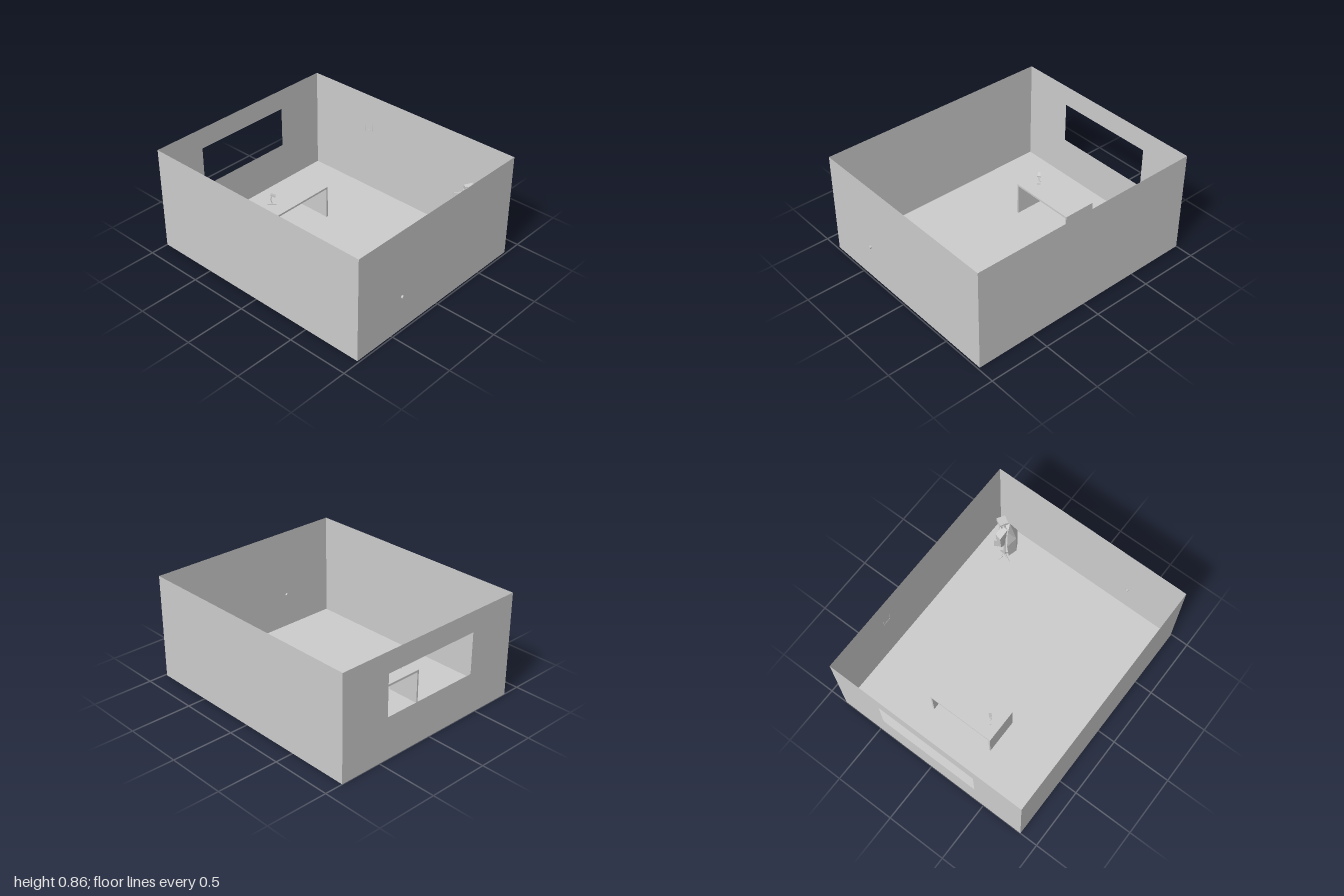
import * as THREE from 'three';
import { ConvexGeometry } from 'three/addons/geometries/ConvexGeometry.js';

const grey = new THREE.MeshStandardMaterial({ color: 0xcccccc, side: THREE.DoubleSide });
grey.name = 'plainGrey';

export function createModel() {
  const model = new THREE.Group();
  const W = 0.85, H = 0.855, BACK = -1, FRONT = 0.985;
  const depth = FRONT - BACK, midZ = (FRONT + BACK) / 2;

  function add(parent, name, geometry, x = 0, y = 0, z = 0) {
    const mesh = new THREE.Mesh(geometry, grey);
    mesh.name = name;
    mesh.position.set(x, y, z);
    parent.add(mesh);
    return mesh;
  }
  const box = (w, h, d) => new THREE.BoxGeometry(w, h, d);
  const hull = (pts) => new ConvexGeometry(pts.map((p) => new THREE.Vector3(...p)));

  // straight round bar between two points
  function bar(parent, name, a, b, r, sides = 8) {
    const p = new THREE.Vector3(...a), q = new THREE.Vector3(...b);
    const dir = q.clone().sub(p);
    const mesh = add(parent, name, new THREE.CylinderGeometry(r, r, dir.length(), sides));
    mesh.position.copy(p).add(q).multiplyScalar(0.5);
    mesh.quaternion.setFromUnitVectors(new THREE.Vector3(0, 1, 0), dir.normalize());
    return mesh;
  }

  // open-topped room of thin sheets
  const room = new THREE.Group();
  room.name = 'room';
  model.add(room);
  add(room, 'floor', new THREE.PlaneGeometry(2 * W, depth), 0, 0, midZ).rotation.x = -Math.PI / 2;
  add(room, 'frontWall', new THREE.PlaneGeometry(2 * W, H), 0, H / 2, FRONT);
  for (const side of [-1, 1]) {
    add(room, side > 0 ? 'leftWall' : 'rightWall', new THREE.PlaneGeometry(depth, H),
      side * W, H / 2, midZ).rotation.y = side * Math.PI / 2;
  }

  // back wall with a window opening
  const rect = (Type, x, y0, y1) => new Type([[-x, y0], [x, y0], [x, y1], [-x, y1]]
    .map((p) => new THREE.Vector2(...p)));
  const wall = rect(THREE.Shape, W, 0, H);
  wall.holes.push(rect(THREE.Path, 0.427, 0.343, 0.683));
  add(room, 'backWallWithWindow', new THREE.ShapeGeometry(wall), 0, 0, BACK);

  // door knob passing through the front wall
  add(room, 'doorKnob', new THREE.CylinderGeometry(0.012, 0.012, 0.03, 12), -0.395, 0.29, 0.985)
    .rotation.x = Math.PI / 2;

  // small hook on the left wall
  bar(room, 'hookBack', [0.847, 0.54, -0.38], [0.847, 0.617, -0.38], 0.002, 4);
  bar(room, 'hookArm', [0.847, 0.54, -0.38], [0.847, 0.54, -0.45], 0.002, 4);
  bar(room, 'hookTip', [0.847, 0.52, -0.45], [0.847, 0.58, -0.45], 0.002, 4);

  // desk: a top on two side panels
  const desk = new THREE.Group();
  desk.name = 'desk';
  desk.position.set(0, 0, -0.49);
  model.add(desk);
  add(desk, 'deskTop', box(0.566, 0.016, 0.28), 0, 0.274, 0);
  for (const side of [-1, 1]) add(desk, 'deskSidePanel', box(0.014, 0.266, 0.28), side * 0.276, 0.133, 0);

  // desk lamp: base, bent arm and tilted head
  const lamp = new THREE.Group();
  lamp.name = 'deskLamp';
  lamp.position.set(-0.19, 0.282, -0.498);
  lamp.rotation.y = -Math.PI / 4;
  model.add(lamp);
  add(lamp, 'lampBase', box(0.066, 0.008, 0.026), 0, 0.004, 0);
  bar(lamp, 'lampLowerArm', [0, 0.006, 0], [-0.01, 0.05, 0], 0.004);
  bar(lamp, 'lampUpperArm', [-0.01, 0.05, 0], [0.005, 0.082, 0], 0.004);
  add(lamp, 'lampHead', box(0.04, 0.014, 0.022), 0.01, 0.08, 0).rotation.z = -0.4;

  // coat stand with splayed feet and short pegs
  const stand = new THREE.Group();
  stand.name = 'coatStand';
  stand.position.set(0.625, 0, 0.74);
  model.add(stand);
  bar(stand, 'standPole', [0, 0.04, 0], [0, 0.6, 0], 0.008);
  for (let i = 0; i < 4; i++) {
    const a = i * Math.PI / 2 + 0.3, c = Math.cos(a), s = Math.sin(a);
    bar(stand, 'standFoot', [0, 0.06, 0], [0.06 * c, 0.008, 0.06 * s], 0.006);
    bar(stand, 'standPeg', [0, 0.53, 0], [0.035 * c, 0.56, 0.035 * s], 0.005);
  }

  // faceted coat hanging on the outer side of the pole
  const coat = new THREE.Group();
  coat.name = 'coat';
  model.add(coat);
  add(coat, 'coatBody', hull([
    [0.545, 0.2, 0.69], [0.53, 0.18, 0.77], [0.566, 0.16, 0.834], [0.622, 0.18, 0.835], [0.6, 0.19, 0.78],
    [0.545, 0.4, 0.67], [0.53, 0.4, 0.77], [0.566, 0.4, 0.834], [0.63, 0.42, 0.825],
    [0.575, 0.53, 0.72], [0.6, 0.56, 0.78], [0.62, 0.55, 0.75],
  ]));
  add(coat, 'coatSleeve', hull([
    [0.585, 0.55, 0.73], [0.64, 0.55, 0.73], [0.59, 0.52, 0.64], [0.65, 0.51, 0.66],
    [0.595, 0.34, 0.66], [0.63, 0.33, 0.66], [0.595, 0.32, 0.7], [0.635, 0.33, 0.7],
  ]));

  // small bag on a strap
  add(stand, 'bag', box(0.032, 0.1, 0.045), 0.05, 0.3, -0.045).rotation.y = 0.6;
  bar(stand, 'bagStrap', [0.03, 0.55, -0.01], [0.05, 0.345, -0.045], 0.003, 6);

  // flat cap on top of the pole
  const hat = add(stand, 'hat', box(0.068, 0.028, 0.07), 0.028, 0.58, 0.012);
  hat.rotation.set(0.1, -0.5, 0.12);

  return model;
}
